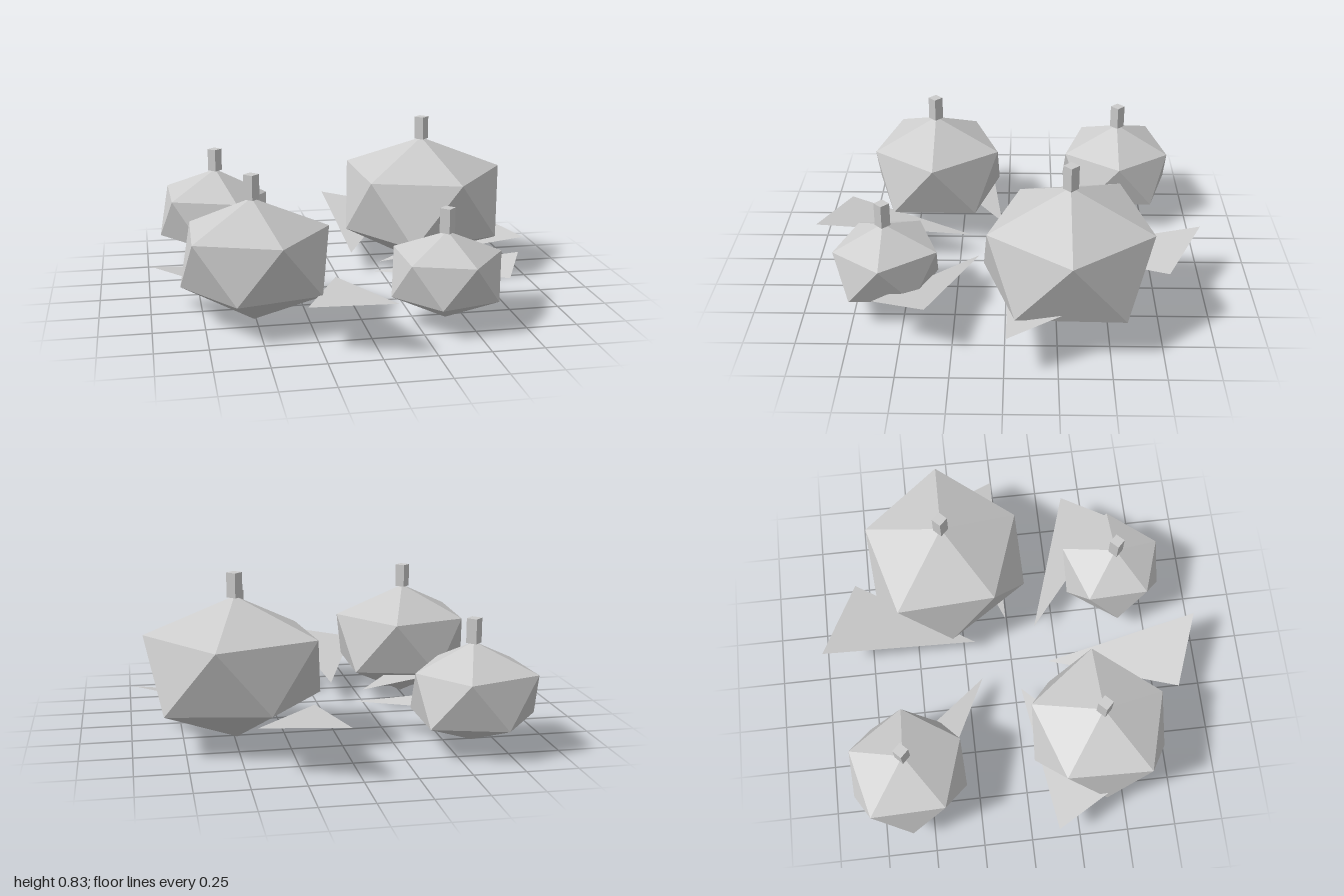
import * as THREE from 'three';

// Facet triangles to a flat shaded geometry
function facets(triangles) {
  const geometry = new THREE.BufferGeometry().setFromPoints(triangles.flat());
  geometry.computeVertexNormals();
  return geometry;
}

// Squashed, slightly uneven 20-sided gourd: two rings of five corners plus two tips
function gourdGeometry({ x, z, mid, top, bottom, upper, lower }) {
  const ring = (radii, side) => radii.map((r, i) => {
    const a = (i + (side < 0 ? 0.5 : 0)) * Math.PI * 2 / 5;
    return new THREE.Vector3(x + r * Math.cos(a), mid + side * 0.375 * r, z - r * Math.sin(a));
  });
  const U = ring(upper, 1), L = ring(lower, -1);
  const T = new THREE.Vector3(x, top, z), B = new THREE.Vector3(x, bottom, z);
  const triangles = [];
  for (let i = 0; i < 5; i++) {
    const j = (i + 1) % 5;
    triangles.push([T, U[i], U[j]], [U[i], L[i], U[j]], [L[i], L[j], U[j]], [B, L[j], L[i]]);
  }
  return facets(triangles);
}

const gourds = [
  { x: 0.49, z: -0.305, mid: 0.38, top: 0.72, bottom: 0.015,
    upper: [0.441, 0.416, 0.446, 0.403, 0.411], lower: [0.446, 0.409, 0.415, 0.436, 0.437] },
  { x: -0.51, z: 0.398, mid: 0.318, top: 0.61, bottom: 0.003,
    upper: [0.37, 0.358, 0.353, 0.367, 0.343], lower: [0.376, 0.363, 0.348, 0.352, 0.374] },
  { x: -0.61, z: -0.604, mid: 0.271, top: 0.52, bottom: 0.035,
    upper: [0.282, 0.291, 0.322, 0.309, 0.301], lower: [0.312, 0.303, 0.314, 0.31, 0.315] },
  { x: 0.391, z: 0.598, mid: 0.245, top: 0.457, bottom: 0.027,
    upper: [0.271, 0.279, 0.273, 0.255, 0.254], lower: [0.262, 0.269, 0.266, 0.257, 0.267] },
];

// Leaf corners as x, z pairs: low tip, high corner, middle corner
const leaves = [
  [[0.083, -0.19], [0.056, -1.0], [0.444, -0.806]],
  [[0.2, -0.01], [0.84, -0.3], [0.987, -0.01]],
  [[-0.13, -0.17], [-0.81, -0.49], [-0.59, -0.72]],
  [[-0.21, 0.03], [-0.763, 0.55], [-0.997, 0.135]],
  [[-0.072, 0.194], [0.066, 0.992], [-0.314, 0.854]],
  [[0.136, 0.141], [0.827, 0.37], [0.7, 0.63]],
];
const leafHeights = [0.122, 0.258, 0.215];

export function createModel() {
  const model = new THREE.Group();
  model.name = 'gourdPatch';
  const grey = new THREE.MeshStandardMaterial({ color: 0xcccccc, side: THREE.DoubleSide, flatShading: true });
  grey.name = 'light grey';

  // Gourds with square stems
  const stemGeometry = new THREE.CylinderGeometry(0.038, 0.038, 0.12, 4);
  gourds.forEach((spec, i) => {
    const gourd = new THREE.Group();
    gourd.name = `gourd${i + 1}`;
    const body = new THREE.Mesh(gourdGeometry(spec), grey);
    body.name = 'body';
    const stem = new THREE.Mesh(stemGeometry, grey);
    stem.name = 'stem';
    stem.position.set(spec.x, spec.top + 0.054, spec.z);
    gourd.add(body, stem);
    model.add(gourd);
  });

  // Flat three-cornered leaves
  leaves.forEach((corners, i) => {
    const [a, b, c] = corners.map(([x, z], k) => new THREE.Vector3(x, leafHeights[k], z));
    const leaf = new THREE.Mesh(facets([[a, c, b]]), grey);
    leaf.name = `leaf${i + 1}`;
    model.add(leaf);
  });
  return model;
}
